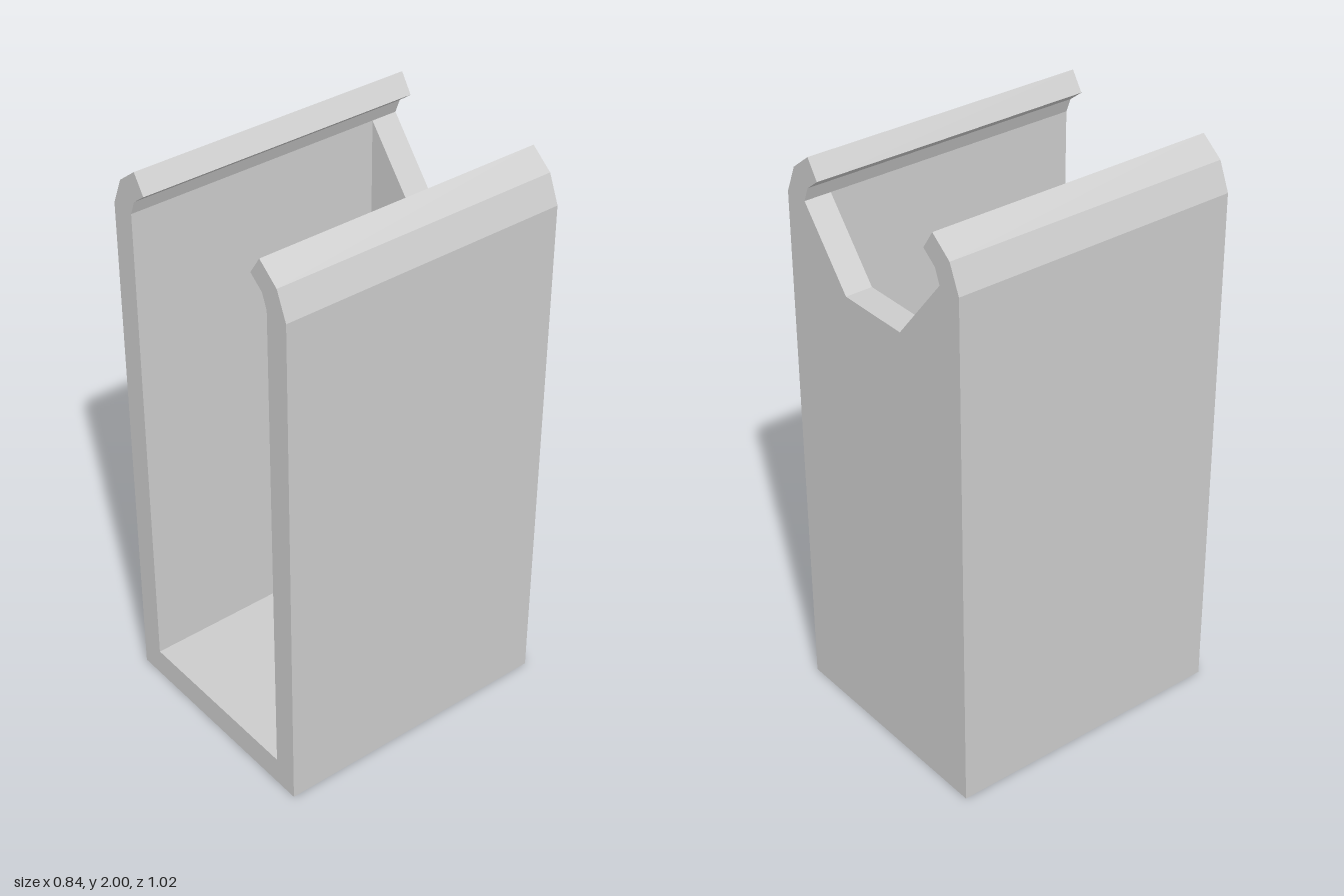
import * as THREE from 'three';

const DEPTH = 1.02;
const BACK_THICKNESS = 0.095;

// Closed outline from its +x half, mirrored to -x
function mirroredShape(half) {
  const mirrored = half.map(([x, y]) => [-x, y]).reverse();
  return new THREE.Shape([...half, ...mirrored].map(([x, y]) => new THREE.Vector2(x, y)));
}

function extrudedPart(name, half, depth, material) {
  const geometry = new THREE.ExtrudeGeometry(mirroredShape(half), { depth, bevelEnabled: false });
  const mesh = new THREE.Mesh(geometry, material);
  mesh.name = name;
  mesh.position.z = -DEPTH / 2;
  return mesh;
}

export function createModel() {
  const group = new THREE.Group();
  group.name = 'openClipHolder';
  const material = new THREE.MeshStandardMaterial({ color: 0xcccccc, flatShading: true });

  // Floor, side walls and inward-curling lips as one channel
  group.add(extrudedPart('channel', [
    [0.42, 0], [0.42, 1.845], [0.38, 1.94], [0.303, 2],
    [0.26, 1.935], [0.312, 1.895], [0.332, 1.845], [0.332, 0.1],
  ], DEPTH, material));

  // Back wall with a tapered notch at the top
  group.add(extrudedPart('backWall', [
    [0.332, 0.1], [0.332, 1.845], [0.135, 1.605],
  ], BACK_THICKNESS, material));

  return group;
}
